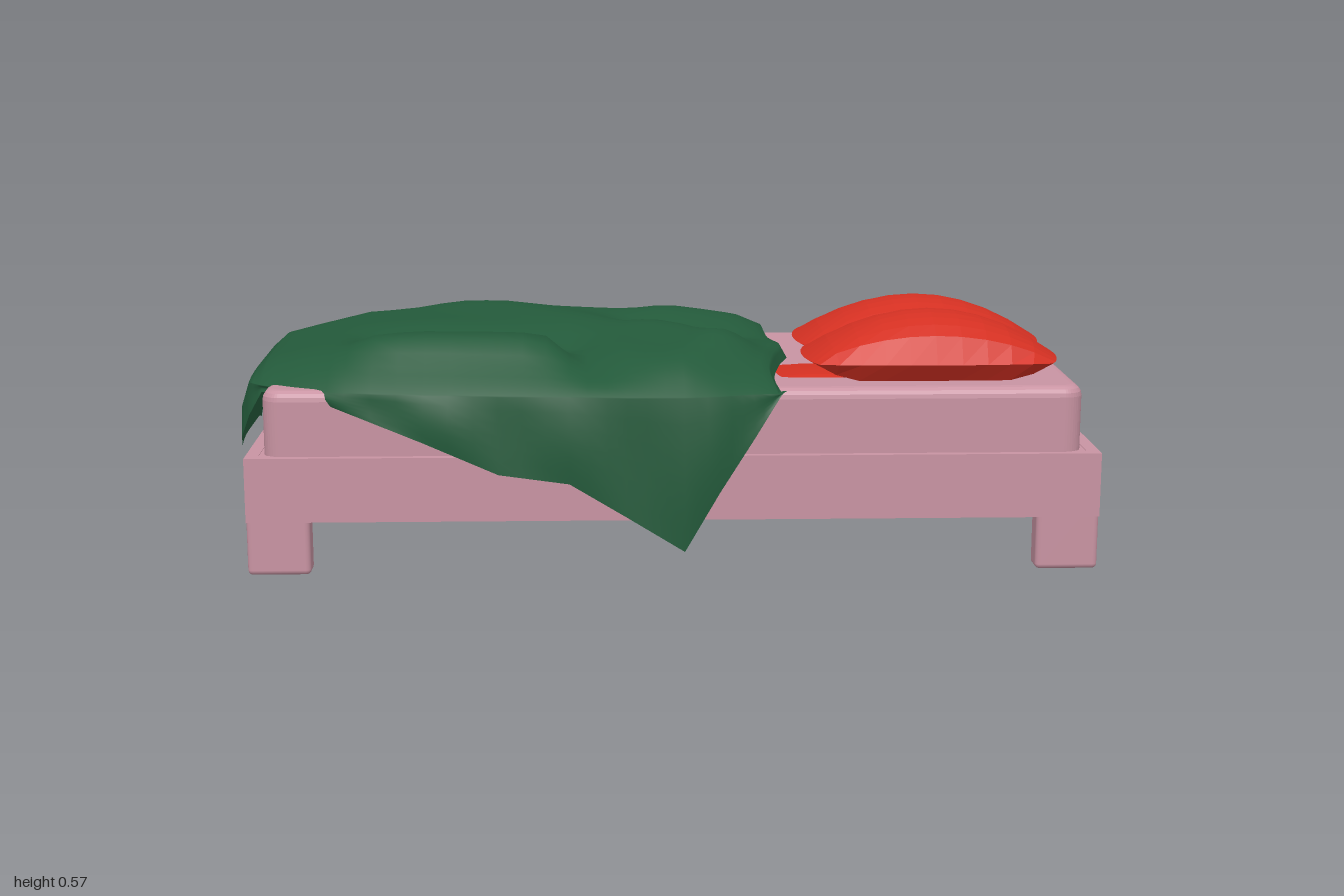
import * as THREE from 'three';
import { RoundedBoxGeometry } from 'three/addons/geometries/RoundedBoxGeometry.js';

const wood = new THREE.MeshStandardMaterial({ color: 0xc893a2 });
const pillowRed = new THREE.MeshStandardMaterial({ color: 0xd43022, flatShading: true });
const cloth = new THREE.MeshStandardMaterial({ color: 0x23593a, side: THREE.DoubleSide });

function add(parent, name, geometry, material) {
  const mesh = new THREE.Mesh(geometry, material);
  mesh.name = name;
  parent.add(mesh);
}

// Box given by its minimum and maximum corners
function block(parent, name, [x0, y0, z0], [x1, y1, z1], radius = 0.004) {
  const g = new RoundedBoxGeometry(x1 - x0, y1 - y0, z1 - z0, 2, radius);
  g.translate((x0 + x1) / 2, (y0 + y1) / 2, (z0 + z1) / 2);
  add(parent, name, g, wood);
}

// Grid surface from a function (i, j) -> [x, y, z]
function gridGeometry(rows, cols, point) {
  const pos = [], index = [];
  for (let i = 0; i <= rows; i++) for (let j = 0; j <= cols; j++) pos.push(...point(i, j));
  for (let i = 0; i < rows; i++) for (let j = 0; j < cols; j++) {
    const a = i * (cols + 1) + j, b = a + cols + 1;
    index.push(a, a + 1, b, b, a + 1, b + 1);
  }
  const g = new THREE.BufferGeometry();
  g.setAttribute('position', new THREE.Float32BufferAttribute(pos, 3));
  g.setIndex(index);
  g.computeVertexNormals();
  return g;
}

function rectPath(path, x0, y0, x1, y1) {
  path.moveTo(x0, y0);
  path.lineTo(x1, y0);
  path.lineTo(x1, y1);
  path.lineTo(x0, y1);
  path.closePath();
  return path;
}

// Frame: a rim around a base panel that sits above the lower edge, and four feet
function frame(parent) {
  const s = rectPath(new THREE.Shape(), -0.96, -0.383, 1, 0.43);
  s.holes.push(rectPath(new THREE.Path(), -0.93, -0.353, 0.97, 0.4));
  const g = new THREE.ExtrudeGeometry(s, { depth: 0.15, bevelEnabled: false });
  g.rotateX(-Math.PI / 2);
  g.translate(0, 0.128, 0);
  add(parent, 'frameRim', g, wood);
  block(parent, 'basePanel', [-0.935, 0.17, -0.405], [0.975, 0.277, 0.358]);
  for (const [x0, x1] of [[-0.96, -0.815], [0.855, 1]])
    for (const [z0, z1] of [[-0.43, -0.36], [0.32, 0.383]])
      block(parent, 'leg', [x0, 0.003, z0], [x1, 0.18, z1], 0.012);
}

// Mattress with rounded upper edges and a shallow pocket near the pillows
function mattress(parent) {
  const b = 0.025, r = 0.02;
  const x0 = -0.92 + b, x1 = 0.96 - b, y0 = -0.365 + b, y1 = 0.41 - b;
  const s = new THREE.Shape();
  s.absarc(x1 - r, y1 - r, r, 0, Math.PI / 2);
  s.absarc(x0 + r, y1 - r, r, Math.PI / 2, Math.PI);
  s.absarc(x0 + r, y0 + r, r, Math.PI, Math.PI * 1.5);
  s.absarc(x1 - r, y0 + r, r, Math.PI * 1.5, Math.PI * 2);
  s.holes.push(rectPath(new THREE.Path(), 0.63, 0.18, 0.86, 0.33));
  const g = new THREE.ExtrudeGeometry(s, { depth: 0.13, bevelSize: b, bevelThickness: b, bevelSegments: 4, curveSegments: 5 });
  g.rotateX(-Math.PI / 2);
  g.translate(0, 0.43 - 0.13 - b, 0);
  add(parent, 'mattress', g, wood);
  block(parent, 'mattressPocketFloor', [0.61, 0.27, -0.35], [0.88, 0.4, -0.16]);
}

// Stepped safety rail along the back, a flat band following a bent line
function backRail(parent) {
  const line = [[0.695, 0.15], [0.695, 0.25], [0.67, 0.27], [0.45, 0.275], [0.4, 0.295], [0.31, 0.39], [0.25, 0.41],
    [-0.66, 0.415], [-0.73, 0.39], [-0.765, 0.33], [-0.785, 0.15]].map(p => new THREE.Vector2(...p));
  const w = 0.013, a = [], c = [];
  line.forEach((p, i) => {
    const t = line[Math.min(i + 1, line.length - 1)].clone().sub(line[Math.max(i - 1, 0)]).normalize();
    a.push(new THREE.Vector2(p.x - t.y * w, p.y + t.x * w));
    c.unshift(new THREE.Vector2(p.x + t.y * w, p.y - t.x * w));
  });
  const g = new THREE.ExtrudeGeometry(new THREE.Shape([...a, ...c]), { depth: 0.053, bevelSize: 0.004, bevelThickness: 0.005, bevelSegments: 1 });
  g.translate(0, 0, -0.466);
  add(parent, 'backRail', g, wood);
}

// Plump cushion: pointed dome along x, fuller along z, on a narrower flat base
function pillow(parent, name, cx, cy, cz, hx, hz, up, down) {
  const n = 10, group = new THREE.Group();
  group.name = name;
  const half = sign => gridGeometry(n, n, (i, j) => {
    const u = (sign * (2 * i - n)) / n, v = (2 * j - n) / n;
    const y = sign > 0 ? up * (1 - u * u) * Math.sqrt(1 - v * v)
      : -down * Math.min(1, (1 - Math.abs(u)) * 3.3, (1 - Math.abs(v)) * 5);
    const corner = 1 - 0.1 * u * u * v * v;
    return [cx + u * hx * corner, cy + y, cz + v * hz * corner];
  });
  add(group, 'pillowTop', half(1), pillowRed);
  add(group, 'pillowBase', half(-1), pillowRed);
  parent.add(group);
}

// Ridges (positive) and furrows (negative) on the blanket: ax, az, bx, bz, width, height
const folds = [
  [-0.47, -0.3, -0.2, -0.05, 0.1, 0.016],
  [-0.65, 0.26, -0.3, 0.28, 0.06, 0.046],
  [-0.02, 0.04, 0.14, 0.2, 0.08, 0.024],
  [0.14, 0.2, 0.04, 0.36, 0.07, 0.022],
  [0.02, -0.3, 0.17, -0.26, 0.07, 0.014],
  [-0.62, 0.12, -0.35, 0.15, 0.08, -0.045],
  [-0.22, 0.15, -0.16, 0.36, 0.05, -0.035],
  [-0.06, -0.16, 0.15, -0.06, 0.07, -0.03]];

function foldHeight(x, z) {
  return folds.reduce((sum, [ax, az, bx, bz, width, height]) => {
    const dx = bx - ax, dz = bz - az;
    const t = THREE.MathUtils.clamp(((x - ax) * dx + (z - az) * dz) / (dx * dx + dz * dz), 0, 1);
    const d = Math.hypot(x - ax - t * dx, z - az - t * dz) / width;
    return sum + height * Math.exp(-d * d);
  }, 0);
}

// Crumpled blanket lofted from cross-sections: x, back z, front z, crown y, front hem y
function blanket(parent) {
  const sections = [
    [0.275, -0.33, 0.37, 0.445, 0.43], [0.26, -0.37, 0.4, 0.475, 0.42], [0.2, -0.4, 0.43, 0.49, 0.33],
    [0.12, -0.415, 0.455, 0.5, 0.21], [0.04, -0.42, 0.467, 0.51, 0.075], [-0.09, -0.43, 0.465, 0.515, 0.155],
    [-0.22, -0.43, 0.45, 0.52, 0.23], [-0.38, -0.42, 0.44, 0.525, 0.25], [-0.55, -0.405, 0.42, 0.525, 0.32],
    [-0.73, -0.375, 0.38, 0.515, 0.385], [-0.85, -0.335, 0.32, 0.488, 0.42], [-0.93, -0.31, 0.27, 0.468, 0.41],
    [-0.965, -0.285, 0.24, 0.436, 0.35], [-0.99, -0.24, 0.2, 0.37, 0.29], [-1, -0.17, 0.14, 0.27, 0.25]];
  const sub = 3, rows = (sections.length - 1) * sub, over = 28, hang = 6;
  const g = gridGeometry(rows, over + hang, (i, j) => {
    const k = Math.min(Math.floor(i / sub), sections.length - 2), f = i / sub - k;
    const [x, zb, zf, top, hem] = sections[k].map((v, n) => THREE.MathUtils.lerp(v, sections[k + 1][n], f));
    const edge = Math.min(0.425, top - 0.01);
    // the shoulder sits slightly inside the hem where the cloth hangs down
    const shoulder = zf - 0.018 * THREE.MathUtils.smoothstep(0.42 - hem, 0, 0.12);
    if (j > over) {
      const t = (j - over) / hang;
      const z = THREE.MathUtils.lerp(zf, shoulder, (1 - t) ** 2) + 0.006 * Math.sin(x * 22) * Math.sin(t * Math.PI);
      return [x, THREE.MathUtils.lerp(edge, Math.min(hem, edge), t), z];
    }
    const s = -Math.cos((Math.PI * j) / over);
    const z = THREE.MathUtils.lerp(zb, shoulder, (s + 1) / 2);
    const dome = 1 - Math.pow(Math.abs(s), s < 0 ? 8 : 4.5);
    // wavy edge at the head end
    const wave = Math.max(0, x) * (0.1 * Math.exp(-(((z - 0.04) / 0.08) ** 2)) - 0.08 * Math.exp(-(((z - 0.3) / 0.1) ** 2)));
    return [x + wave, edge + (top - edge + foldHeight(x, z)) * dome, z];
  });
  add(parent, 'blanket', g, cloth);
}

export function createModel() {
  const bed = new THREE.Group();
  bed.name = 'bed';

  frame(bed);
  mattress(bed);
  backRail(bed);

  // Loose slat on the floor behind the bed
  block(bed, 'floorSlat', [-0.8, 0.008, -0.458], [0, 0.02, -0.428], 0.003);

  pillow(bed, 'frontPillow', 0.627, 0.472, 0.155, 0.3, 0.16, 0.106, 0.042);
  pillow(bed, 'backPillow', 0.627, 0.472, -0.08, 0.3, 0.162, 0.104, 0.042);
  pillow(bed, 'smallCushion', 0.37, 0.431, 0.155, 0.105, 0.085, 0.009, 0.004);

  blanket(bed);
  return bed;
}
